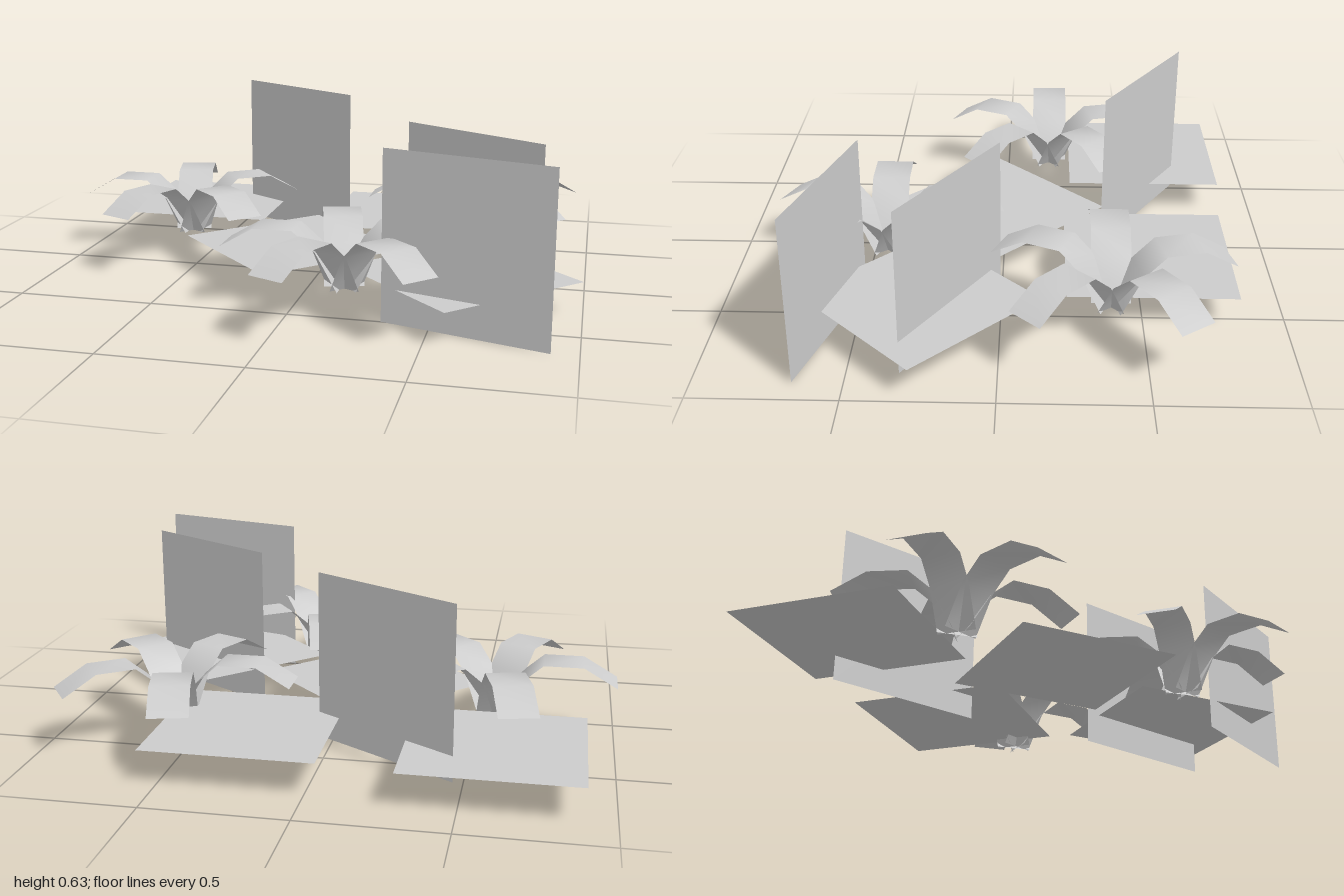
import * as THREE from 'three';

const material = new THREE.MeshStandardMaterial({ color: 0xcccccc, side: THREE.DoubleSide });
const deg = THREE.MathUtils.degToRad;

// Arching ribbon along +x: profile points are [distance from the centre, height]
function leafGeometry(width, profile) {
  const geometry = new THREE.PlaneGeometry(1, width, profile.length - 1, 1).rotateX(-Math.PI / 2);
  const position = geometry.attributes.position;
  for (let i = 0; i < position.count; i++) {
    const [r, y] = profile[i % profile.length];
    position.setX(i, r);
    position.setY(i, y);
  }
  geometry.computeVertexNormals();
  return geometry;
}

export function createModel() {
  const model = new THREE.Group();
  model.name = 'plantPatch';

  const add = (parent, name, geometry, x, y, z, angle) => {
    const mesh = new THREE.Mesh(geometry, material);
    mesh.name = name;
    mesh.position.set(x, y, z);
    mesh.rotation.y = deg(angle);
    parent.add(mesh);
  };

  // Three leafy plants, five drooping leaves each
  const leaf = leafGeometry(0.14, [
    [0.012, 0.09], [0.09, 0.23], [0.17, 0.3], [0.31, 0.3], [0.43, 0.23],
  ]);
  for (const [x, z] of [[-0.57, -0.175], [0.56, -0.385], [0.19, 0.43]]) {
    const plant = new THREE.Group();
    plant.name = 'plant';
    plant.position.set(x, 0, z);
    for (const angle of [36, 104, 180, 246, 316]) add(plant, 'leaf', leaf, 0, 0, 0, angle);
    model.add(plant);
  }

  // Flat square ground patches
  const patch = new THREE.PlaneGeometry(0.602, 0.602).rotateX(-Math.PI / 2);
  for (const [x, y, z, angle] of [
    [-0.6, 0.122, -0.56, 0],
    [0.26, 0.122, -0.53, 0],
    [-0.095, 0.124, 0.04, 45],
    [0.573, 0.122, 0.28, 45],
  ]) add(model, 'groundPatch', patch, x, y, z, angle);

  // Upright square cards
  const card = new THREE.PlaneGeometry(0.602, 0.605);
  for (const [x, y, z, angle] of [
    [-0.215, 0.3325, -0.53, -32],
    [0.62, 0.3025, 0.585, -16.5],
    [0.595, 0.3025, 0.165, -32],
  ]) add(model, 'uprightCard', card, x, y, z, angle);

  return model;
}
